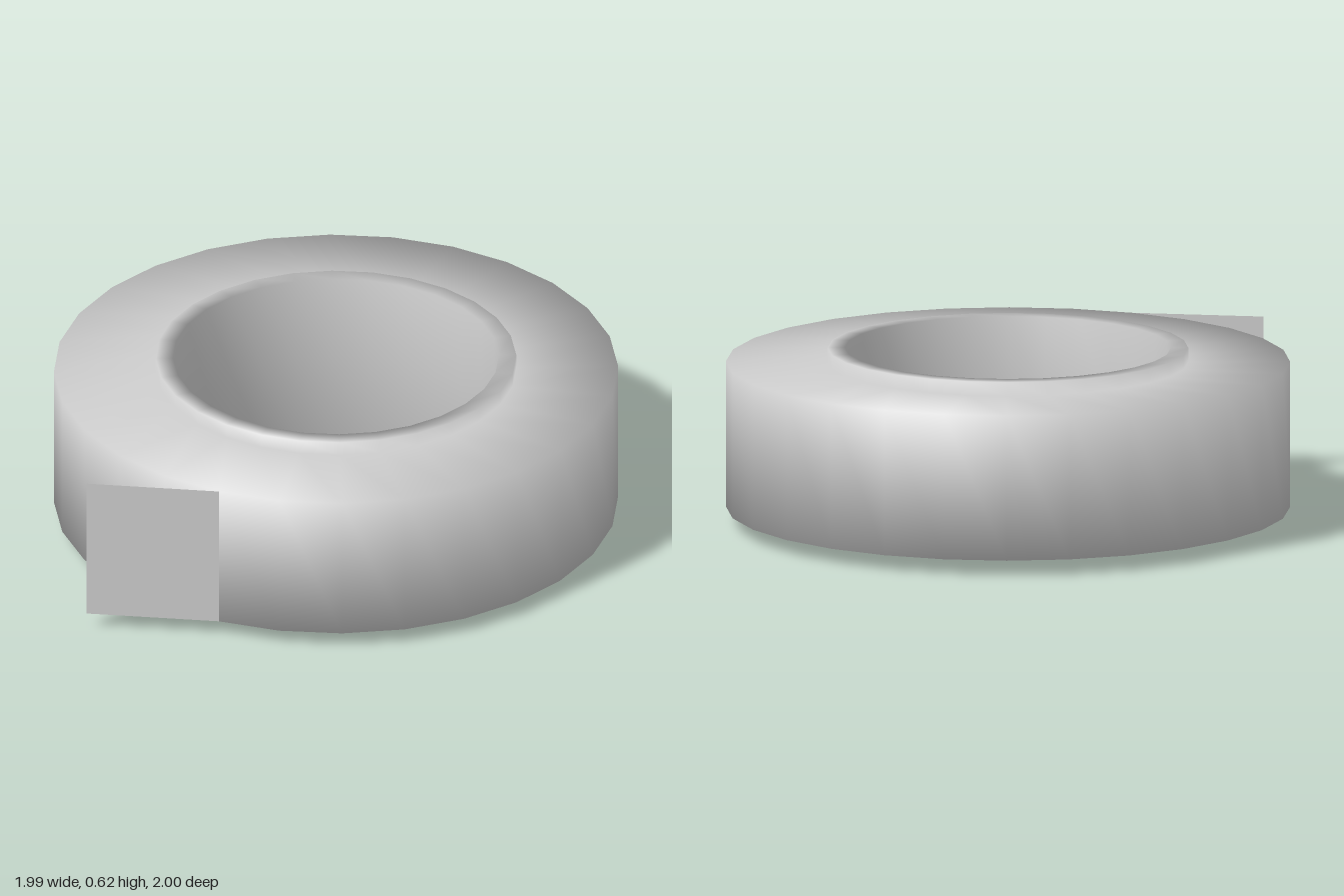
import * as THREE from 'three';

export function createModel() {
  const group = new THREE.Group();
  group.name = 'tapeRoll';

  const grey = new THREE.MeshStandardMaterial({ color: 0xcccccc, side: THREE.DoubleSide });
  grey.name = 'grey';

  const sides = 28;
  const outer = 0.994, coreOuter = 0.635, coreInner = 0.574;
  const height = 0.625, tapeBottom = 0.055, tapeTop = 0.575;
  const centreZ = -0.006;

  // Wound tape and its projecting core: one closed, smoothly shaded profile
  const profile = [
    [coreInner, height / 2],
    [coreInner, 0],
    [coreOuter, 0],
    [coreOuter, tapeBottom],
    [outer, tapeBottom],
    [outer, tapeTop],
    [coreOuter, tapeTop],
    [coreOuter, height],
    [coreInner, height],
    [coreInner, height / 2],
  ].map(([r, y]) => new THREE.Vector2(r, y));
  const roll = new THREE.Mesh(new THREE.LatheGeometry(profile, sides), grey);
  roll.name = 'roll';
  roll.position.z = centreZ;
  group.add(roll);

  // Loose end of the tape: a flat sheet leaving the roll at one of its edges
  const angle = (2 * Math.PI) / sides;
  const start = new THREE.Vector2(-outer * Math.sin(angle), outer * Math.cos(angle) + centreZ);
  const end = new THREE.Vector2(-0.69, 1);
  const flap = new THREE.Mesh(
    new THREE.PlaneGeometry(start.distanceTo(end), tapeTop - tapeBottom), grey);
  flap.name = 'looseEnd';
  flap.position.set((start.x + end.x) / 2, (tapeBottom + tapeTop) / 2, (start.y + end.y) / 2);
  flap.rotation.y = Math.atan2(end.y - start.y, start.x - end.x);
  group.add(flap);

  return group;
}
